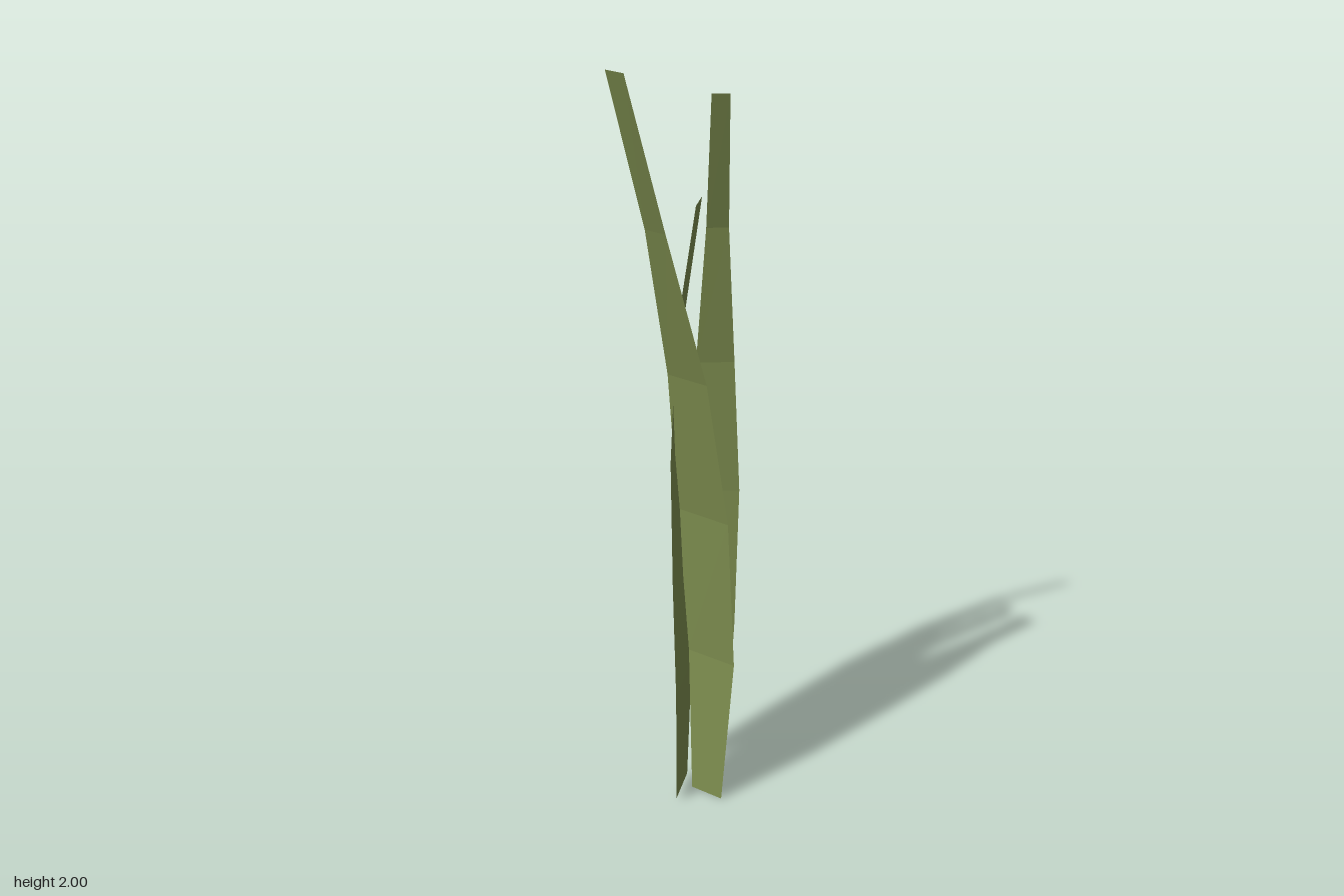
import * as THREE from 'three';

// Flat ribbon blade lofted through rows of [y, leftX, leftZ, rightX, rightZ]
function makeBlade(name, rows, material) {
  const positions = [];
  const index = [];
  rows.forEach(([y, lx, lz, rx, rz], i) => {
    positions.push(lx, y, lz, rx, y, rz);
    if (i === 0) return;
    const a = (i - 1) * 2;
    index.push(a, a + 1, a + 3, a, a + 3, a + 2);
  });
  const indexed = new THREE.BufferGeometry();
  indexed.setAttribute('position', new THREE.Float32BufferAttribute(positions, 3));
  indexed.setIndex(index);
  const geometry = indexed.toNonIndexed();
  geometry.computeVertexNormals();
  const mesh = new THREE.Mesh(geometry, material);
  mesh.name = name;
  return mesh;
}

export function createModel() {
  const group = new THREE.Group();
  group.name = 'grassTuft';
  const green = new THREE.MeshStandardMaterial({ color: 0x7f8f50, side: THREE.DoubleSide, flatShading: true });
  green.name = 'grass green';

  // Tallest blade, arching forward
  group.add(makeBlade('frontBlade', [
    [0.0, 0.01, -0.074, 0.093, -0.032],
    [0.4, -0.002, -0.092, 0.123, -0.03],
    [0.81, -0.026, -0.069, 0.109, 0.0],
    [1.2, -0.037, 0.008, 0.065, 0.06],
    [1.6, -0.067, 0.125, -0.015, 0.15],
    [2.0, -0.127, 0.25, -0.082, 0.272],
  ], green));

  // Shortest blade, turned sideways with its tip leaning left
  group.add(makeBlade('sideBlade', [
    [0.01, -0.018, 0.0, -0.011, -0.12],
    [0.33, -0.014, 0.028, -0.005, -0.152],
    [0.65, -0.021, 0.034, -0.012, -0.157],
    [0.97, -0.029, 0.015, -0.022, -0.14],
    [1.29, -0.022, -0.024, -0.018, -0.102],
    [1.61, 0.024, -0.027, 0.027, -0.095],
  ], green));

  // Rear blade, curling forward near the tip
  group.add(makeBlade('rearBlade', [
    [0.01, -0.005, -0.243, 0.07, -0.259],
    [0.39, -0.021, -0.245, 0.088, -0.269],
    [0.77, -0.028, -0.248, 0.096, -0.275],
    [1.13, -0.01, -0.237, 0.083, -0.257],
    [1.5, 0.022, -0.188, 0.075, -0.2],
    [1.86, 0.05, -0.083, 0.092, -0.092],
  ], green));

  return group;
}
